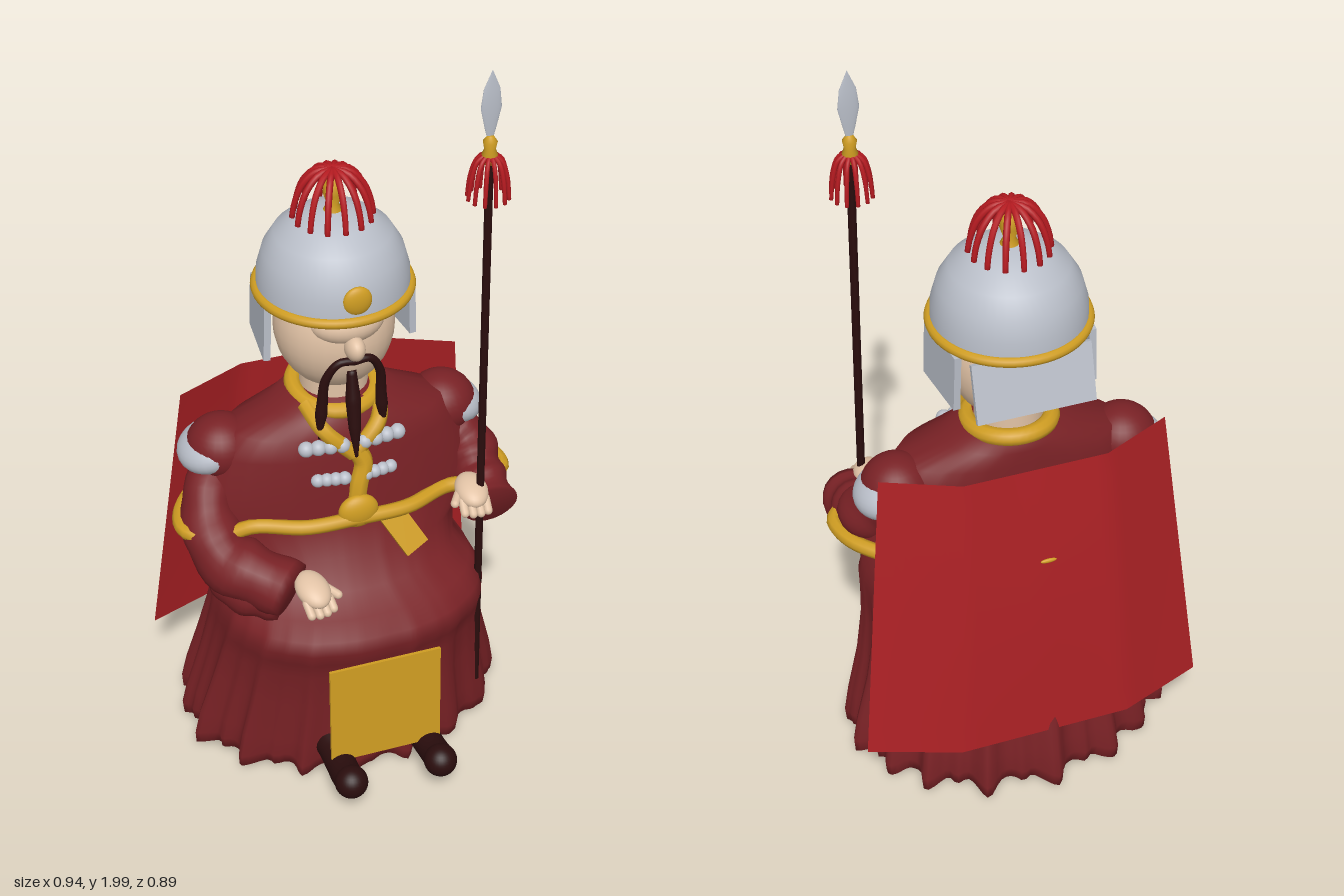
import * as THREE from 'three';

const mat = (name, color) => {
  const m = new THREE.MeshStandardMaterial({ color, side: THREE.DoubleSide });
  m.name = name;
  return m;
};
const V = (x, y, z) => new THREE.Vector3(x, y, z);

// Skin closed rings of points (bottom to top) with a smooth surface
function loft(rings) {
  const n = rings[0].length, pos = [], idx = [];
  rings.forEach(r => r.forEach(p => pos.push(p.x, p.y, p.z)));
  for (let j = 0; j < rings.length - 1; j++) for (let i = 0; i < n; i++) {
    const k = (i + 1) % n, a = j * n + i, b = j * n + k, c = a + n, d = b + n;
    idx.push(a, b, d, a, d, c);
  }
  const g = new THREE.BufferGeometry();
  g.setAttribute('position', new THREE.Float32BufferAttribute(pos, 3));
  g.setIndex(idx);
  g.computeVertexNormals();
  return g;
}

// Round limb along a curve with changing radius; wobble adds cloth folds
function limb(points, radii, wobble = 0, steps = 24, n = 20) {
  const curve = new THREE.CatmullRomCurve3(points);
  const f = curve.computeFrenetFrames(steps, false), rings = [];
  const ring = (s, scale) => {
    const u = s / steps, q = u * (radii.length - 1), k = Math.min(Math.floor(q), radii.length - 2);
    const r0 = THREE.MathUtils.lerp(radii[k], radii[k + 1], q - k) * scale, c = curve.getPointAt(u);
    return Array.from({ length: n }, (_, i) => {
      const t = i / n * Math.PI * 2, r = r0 * (1 + wobble * Math.sin(u * 22 + 2 * Math.sin(t)));
      return c.clone().addScaledVector(f.normals[s], r * Math.cos(t)).addScaledVector(f.binormals[s], r * Math.sin(t));
    });
  };
  rings.push(ring(0, 0.01));
  for (let s = 0; s <= steps; s++) rings.push(ring(s, 1));
  rings.push(ring(steps, 0.01));
  return loft(rings);
}

// Robe levels: y, half width, front z, back z, fold depth, roundness exponent
const robeLevels = [
  [0.09, 0.01, -0.06, -0.08, 0, 1], [0.05, 0.2, 0.1, -0.24, 0.12, 1], [0.025, 0.4, 0.24, -0.375, 0.12, 1],
  [0.025, 0.425, 0.262, -0.395, 0.12, 1], [0.06, 0.43, 0.27, -0.4, 0.11, 1], [0.12, 0.42, 0.272, -0.39, 0.095, 1],
  [0.25, 0.39, 0.275, -0.365, 0.07, 0.97], [0.36, 0.372, 0.28, -0.33, 0.045, 0.92], [0.42, 0.367, 0.295, -0.305, 0.03, 0.88],
  [0.465, 0.365, 0.312, -0.29, 0.02, 0.85], [0.505, 0.355, 0.305, -0.28, 0.012, 0.85], [0.54, 0.335, 0.26, -0.265, 0.01, 0.88],
  [0.57, 0.31, 0.18, -0.26, 0.01, 0.95], [0.64, 0.32, 0.13, -0.25, 0.012, 1], [0.71, 0.39, 0.095, -0.25, 0.01, 1.1],
  [0.75, 0.41, 0.085, -0.25, 0.006, 1.1], [0.82, 0.37, 0.08, -0.24, 0.01, 1.05], [0.92, 0.34, 0.06, -0.235, 0.008, 1],
  [0.98, 0.29, 0.05, -0.23, 0.005, 0.95], [1.02, 0.18, 0.03, -0.225, 0, 1], [1.06, 0.12, 0.01, -0.215, 0, 1], [1.07, 0.01, -0.09, -0.11, 0, 1]];

// Narrow raised pleats with wider hollows between them
function pleat(t) {
  const ridge = a => (0.5 + 0.5 * Math.cos(a)) ** 2.5;
  return 0.7 * ridge(17 * t + 0.9 * Math.sin(3 * t) + 2.6) + 0.3 * ridge(29 * t + 1) - 0.2;
}

function robeGeometry() {
  const n = 200;
  return loft(robeLevels.map(([y, rx, zf, zb, fold, e]) => Array.from({ length: n }, (_, i) => {
    const t = i / n * Math.PI * 2, s = Math.sin(t), c = Math.cos(t), p = fold * pleat(t);
    const pw = v => Math.sign(v) * Math.abs(v) ** e;
    return V(rx * (1 + p) * pw(s), y - (y < 0.1 ? 0.2 * p : 0), (zf + zb) / 2 + (zf - zb) / 2 * (1 + p * (c < 0 ? 1.4 : 0.6)) * pw(c));
  })));
}

// Curved cape panel, widening and leaning back toward the hem
function capeGeometry() {
  const g = new THREE.PlaneGeometry(2, 1, 24, 12), p = g.attributes.position;
  for (let i = 0; i < p.count; i++) {
    const u = p.getX(i), v = 0.5 - p.getY(i), a = Math.abs(u);
    const edge = Math.max(0, (a - 0.5) / 0.5);
    p.setXYZ(i, u * (0.385 + 0.085 * v), 1.02 - 0.83 * v, -0.3 - 0.095 * v + 0.088 * edge - 0.012 * (1 - a) * Math.sin(v * Math.PI));
  }
  g.computeVertexNormals();
  return g;
}

export function createModel() {
  const root = new THREE.Group();
  root.name = 'seatedGuard';
  const robe = mat('robeRed', 0x782125), capeRed = mat('capeRed', 0xaa2024), plume = mat('plumeRed', 0xb51a20),
    gold = mat('gold', 0xcf9d22), steel = mat('steel', 0xb9bec8), skin = mat('skin', 0xe2c3a6), dark = mat('darkBrown', 0x2a0d0d);

  const add = (name, geo, material, pos = [0, 0, 0], rot = [0, 0, 0], scale = [1, 1, 1], parent = root) => {
    const m = new THREE.Mesh(geo, material);
    m.name = name;
    m.position.set(...pos); m.rotation.set(...rot); m.scale.set(...scale);
    parent.add(m);
    return m;
  };
  const ball = (name, material, pos, scale, rot, parent) =>
    add(name, new THREE.SphereGeometry(1, 28, 18), material, pos, rot, scale, parent);
  const lathe = pts => new THREE.LatheGeometry(pts.map(p => new THREE.Vector2(...p)), 48);
  const tube = (pts, r, closed = false) =>
    new THREE.TubeGeometry(new THREE.CatmullRomCurve3(pts, closed), closed ? 96 : 20, r, 8, closed);

  // Clothing
  add('robe', robeGeometry(), robe);
  add('cape', capeGeometry(), capeRed);
  ball('capeStud', gold, [-0.02, 0.75, -0.345], [0.022, 0.006, 0.005]);
  add('apron', new THREE.BoxGeometry(0.31, 0.31, 0.009), gold, [0, 0.275, 0.323], [-0.04, 0, 0]);

  // Belt dipping in beside the belly and out around the elbows, with buckle and sash end
  const half = [[0.14, 0.095], [0.27, 0.045], [0.38, 0.055], [0.445, 0.005], [0.43, -0.09], [0.33, -0.2], [0.19, -0.262]];
  const beltPath = [V(0, 0.75, 0.105), ...half.map(([x, z]) => V(x, 0.745, z)), V(0, 0.745, -0.28),
    ...half.slice().reverse().map(([x, z]) => V(-x, 0.745, z))];
  add('belt', tube(beltPath, 0.02, true), gold);
  ball('buckle', gold, [0, 0.77, 0.1], [0.055, 0.05, 0.027]);
  add('sashEnd', new THREE.BoxGeometry(0.07, 0.13, 0.02), gold, [0.12, 0.69, 0.118], [-0.4, 0, 0.5]);

  // Collar and front trim
  add('collar', new THREE.TorusGeometry(0.107, 0.023, 10, 40), gold, [0, 1.05, -0.1], [Math.PI / 2 + 0.12, 0, 0], [1, 1.05, 1]);
  for (const s of [-1, 1])
    add('lapel', tube([V(s * 0.1, 1.045, -0.035), V(s * 0.075, 1.005, 0.04), V(0, 0.93, 0.062)], 0.022), gold);
  add('frontTrim', tube([V(0, 0.95, 0.055), V(0.025, 0.9, 0.065), V(0.01, 0.84, 0.075), V(0, 0.78, 0.08)], 0.026), gold);

  // Rows of pale bead fastenings
  for (const [y, z, w, r] of [[0.962, 0.06, 0.125, 0.021], [0.868, 0.078, 0.1, 0.018]])
    for (const s of [-1, 1]) for (let i = 0; i < 4; i++)
      ball('bead', steel, [s * (0.03 + (w - 0.03) * i / 3), y, z - 0.004 * i], [r, r, r]);

  // Shoulders and sleeves
  for (const s of [-1, 1]) {
    ball('shoulderPad', steel, [s * 0.335, 0.91, -0.12], [0.09, 0.058, 0.095], [0, 0, -s * 0.3]);
    ball('shoulderCloth', robe, [s * 0.308, 0.912, -0.112], [0.094, 0.088, 0.092]);
  }
  add('leftSleeve', limb([V(0.32, 0.85, -0.11), V(0.365, 0.8, -0.06), V(0.37, 0.745, 0.01), V(0.365, 0.705, 0.12)],
    [0.06, 0.072, 0.07, 0.075], 0.07), robe);
  add('rightSleeve', limb([V(-0.32, 0.85, -0.11), V(-0.365, 0.79, -0.06), V(-0.36, 0.68, 0.05), V(-0.215, 0.625, 0.19)],
    [0.06, 0.075, 0.083, 0.075], 0.06), robe);
  add('rightSleeveDrape', limb([V(-0.36, 0.64, 0.0), V(-0.32, 0.6, 0.09), V(-0.23, 0.585, 0.17)], [0.06, 0.075, 0.06], 0.05), robe);

  // Hands: palm, fingers and thumb, pointing along +z
  const hand = (name, pos, rot, side) => {
    const g = new THREE.Group();
    g.name = name;
    g.position.set(...pos); g.rotation.set(...rot);
    root.add(g);
    ball('palm', skin, [0, 0, 0], [0.044, 0.03, 0.062], [0, 0, 0], g);
    for (let i = 0; i < 4; i++)
      add('finger', new THREE.CapsuleGeometry(0.012, 0.035, 4, 10), skin, [-0.032 + i * 0.021, -0.014, 0.055 - Math.abs(i - 1.5) * 0.006],
        [Math.PI / 2 + 0.45, 0, 0], [1, 1, 1], g);
    add('thumb', new THREE.CapsuleGeometry(0.012, 0.04, 4, 10), skin, [side * 0.045, -0.005, 0.02], [Math.PI / 2, 0, -side * 0.5], [1, 1, 1], g);
  };
  hand('rightHand', [-0.17, 0.65, 0.23], [0.25, 0.15, 0], 1);
  hand('leftHand', [0.31, 0.775, 0.12], [0.15, -0.1, 0], -1);

  // Boots with round upturned toes
  for (const s of [-1, 1]) {
    add('boot', limb([V(s * 0.125, 0.11, 0.2), V(s * 0.125, 0.1, 0.3), V(s * 0.128, 0.105, 0.37), V(s * 0.128, 0.115, 0.41)],
      [0.05, 0.043, 0.041, 0.042]), dark);
    ball('bootToe', dark, [s * 0.127, 0.115, 0.412], [0.045, 0.045, 0.045]);
  }

  // Head and face
  ball('head', skin, [0, 1.25, -0.095], [0.158, 0.18, 0.155]);
  add('neck', new THREE.CylinderGeometry(0.09, 0.09, 0.12, 32), skin, [0, 1.08, -0.1]);
  ball('upperFace', skin, [0, 1.31, 0.0], [0.1, 0.06, 0.075]);
  ball('nose', skin, [0, 1.262, 0.068], [0.026, 0.034, 0.04], [-0.4, 0, 0]);
  for (const s of [-1, 1])
    add('moustache', limb([V(0, 1.225, 0.072), V(s * 0.04, 1.225, 0.068), V(s * 0.072, 1.175, 0.055), V(s * 0.08, 1.09, 0.045), V(s * 0.088, 0.985, 0.045)],
      [0.01, 0.011, 0.013, 0.016, 0.003]), dark);
  add('beard', limb([V(0, 1.18, 0.045), V(0, 1.11, 0.055), V(0, 1.03, 0.068), V(0, 0.935, 0.085)], [0.012, 0.02, 0.016, 0.004]), dark);

  // Helmet with rim, badge and hanging guards
  add('helmetDome', lathe([[0.197, 1.355], [0.195, 1.41], [0.18, 1.465], [0.15, 1.515], [0.1, 1.553], [0.05, 1.57], [0, 1.575]]), steel, [0, 0, -0.1]);
  add('helmetRim', new THREE.TorusGeometry(0.197, 0.014, 10, 64), gold, [0, 1.36, -0.1], [Math.PI / 2, 0, 0]);
  ball('helmetBadge', gold, [0, 1.415, 0.088], [0.038, 0.04, 0.016]);
  for (const s of [-1, 1])
    add('sideGuard', new THREE.BoxGeometry(0.018, 0.155, 0.18), steel, [s * 0.186, 1.275, -0.13], [0, s * 0.1, s * 0.03]);
  add('backGuard', new THREE.BoxGeometry(0.31, 0.155, 0.014), steel, [0, 1.275, -0.275], [0.3, 0, 0]);

  // Plume of curved cords around a gold finial
  add('helmetFinial', lathe([[0.03, 1.56], [0.015, 1.59], [0.025, 1.62], [0.022, 1.65], [0, 1.69]]), gold, [0, 0, -0.1]);
  const cords = (name, count, path, r, pos) => {
    for (let i = 0; i < count; i++) {
      const t = i / count * Math.PI * 2;
      add(name, limb(path.map(([d, y]) => V(d * Math.sin(t), y, d * Math.cos(t))), [r, r, r * 0.85], 0, 12, 8), plume, pos);
    }
  };
  cords('helmetPlume', 14, [[0, 1.685], [0.04, 1.68], [0.075, 1.645], [0.095, 1.595], [0.102, 1.555]], 0.0085, [0, 0, -0.1]);

  // Spear
  add('spearShaft', tube([V(0.33, 0.13, 0.15), V(0.33, 1, 0.126), V(0.33, 1.8, 0.104)], 0.011), dark);
  add('spearCollar', lathe([[0, 1.75], [0.014, 1.75], [0.02, 1.775], [0.014, 1.79], [0.018, 1.81], [0.008, 1.825], [0, 1.825]]), gold, [0.33, 0, 0.104]);
  add('spearBlade', lathe([[0.006, 1.81], [0.016, 1.85], [0.027, 1.9], [0.021, 1.95], [0, 2]]), steel, [0.33, 0, 0.102], [0, 0, 0], [1, 1, 0.25]);
  cords('spearTassel', 12, [[0.008, 1.775], [0.03, 1.76], [0.045, 1.715], [0.052, 1.655]], 0.006, [0.33, 0, 0.104]);

  return root;
}
